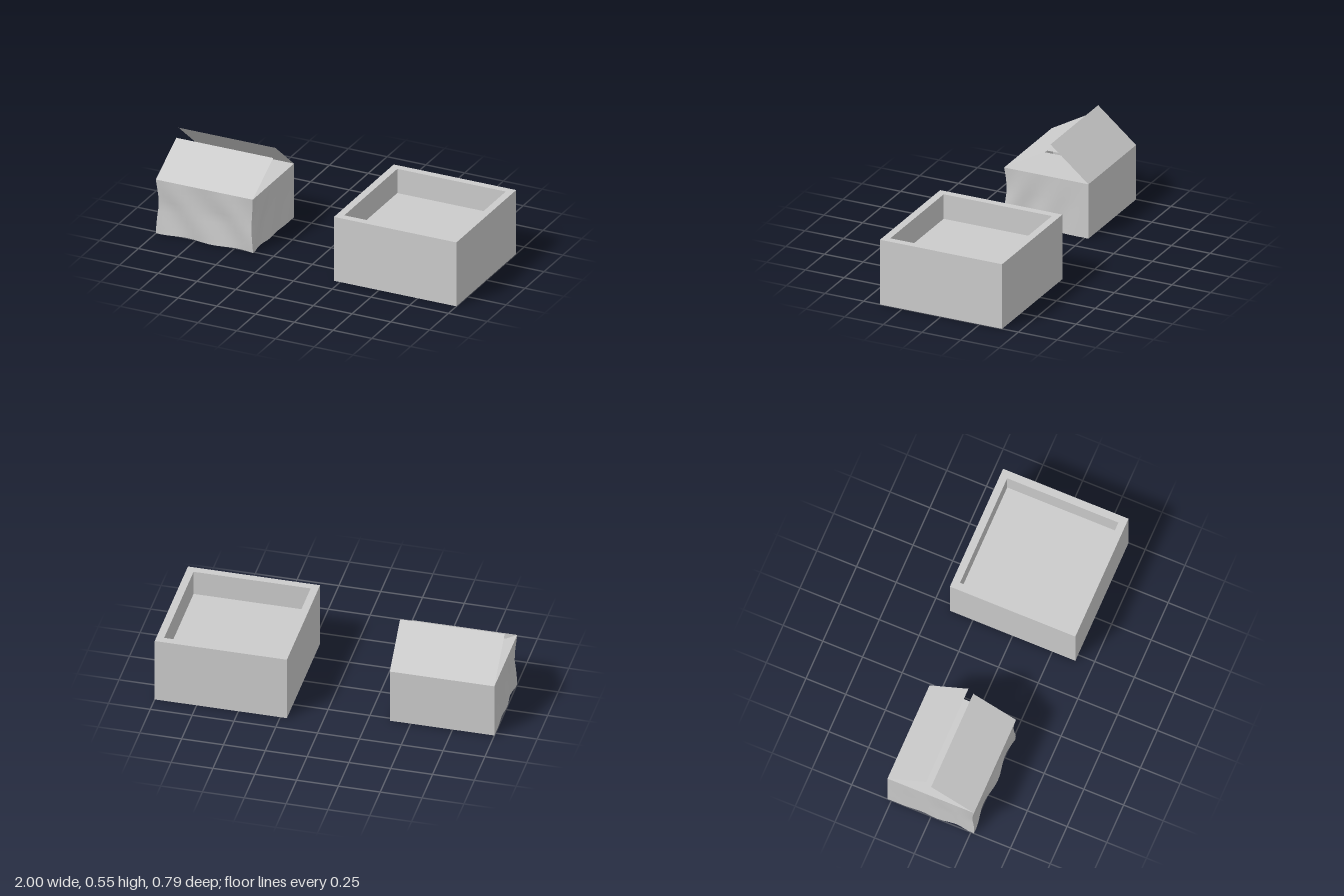
import * as THREE from 'three';

const grey = { color: 0xcccccc };
const W = 0.625, H = 0.345, D = 0.545; // carton width, wall height, depth
const CX = -0.6875, CZ = -0.0025; // carton centre

// Square tray: a four-sided lathe running from the base, over the rim, down to the recessed floor
function makeTray() {
  const k = Math.SQRT2;
  const profile = [[0, 0], [0.395, 0], [0.395, 0.41], [0.35, 0.41], [0.35, 0.255], [0, 0.255]]
    .map(([r, y]) => new THREE.Vector2(r * k, y));
  const tray = new THREE.Mesh(
    new THREE.LatheGeometry(profile, 4, Math.PI / 4),
    new THREE.MeshStandardMaterial({ ...grey, flatShading: true })
  );
  tray.name = 'tray';
  tray.position.x = 0.605;
  return tray;
}

// Open carton body, with shallow dents growing towards the front and the base
function makeCartonBody(material) {
  const geo = new THREE.BoxGeometry(W, H, D, 16, 10, 14);
  const top = geo.groups[2];
  const index = Array.from(geo.index.array);
  index.splice(top.start, top.count); // leave the top open
  geo.setIndex(index);
  geo.clearGroups();

  const pos = geo.attributes.position;
  for (let i = 0; i < pos.count; i++) {
    const x = pos.getX(i), y = pos.getY(i), z = pos.getZ(i);
    const front = z / D + 0.5;
    const low = Math.min(1, (0.5 - y / H) * 2);
    const side = (2 * x) / W;
    const dentZ = 0.011 * low * front ** 4 * (1 + Math.sin(side * 6 + y * 14));
    const dentX = 0.008 * low * front * Math.abs(side) ** 5 * (1 - Math.cos(z * 28 + y * 10 + 7));
    pos.setXYZ(i, x - Math.sign(x) * dentX, y, z - dentZ);
  }
  geo.computeVertexNormals();
  const body = new THREE.Mesh(geo, material);
  body.name = 'cartonBody';
  body.position.y = H / 2;
  return body;
}

// Thin flap hinged on its near edge: it reaches along +z of its own group
function makeFlap(name, width, length, material) {
  const hinge = new THREE.Group();
  hinge.name = name;
  const geo = new THREE.PlaneGeometry(width, length).rotateX(-Math.PI / 2).translate(0, 0, length / 2);
  const panel = new THREE.Mesh(geo, material);
  panel.name = name + 'Panel';
  hinge.add(panel);
  hinge.position.y = H;
  return hinge;
}

function makeCarton() {
  const carton = new THREE.Group();
  carton.name = 'carton';
  carton.position.set(CX, 0, CZ);
  const card = new THREE.MeshStandardMaterial({ ...grey, side: THREE.DoubleSide });
  carton.add(makeCartonBody(card));

  // Side flaps folded flat, with a narrow gap between them
  for (const s of [-1, 1]) {
    const flap = makeFlap(s > 0 ? 'leftFlap' : 'rightFlap', D, W / 2 - 0.013, card);
    flap.position.x = (s * W) / 2;
    flap.rotation.y = (-s * Math.PI) / 2;
    carton.add(flap);
  }

  // Front and back flaps, half raised at different angles
  for (const [name, s, run, rise] of [['frontFlap', 1, 0.27, 0.153], ['backFlap', -1, 0.245, 0.205]]) {
    const flap = makeFlap(name, W, Math.hypot(run, rise), card);
    flap.position.z = (s * D) / 2;
    flap.rotation.order = 'YXZ';
    flap.rotation.y = s > 0 ? Math.PI : 0;
    flap.rotation.x = -Math.atan2(rise, run);
    carton.add(flap);
  }
  return carton;
}

export function createModel() {
  const model = new THREE.Group();
  model.name = 'trayAndCarton';
  model.add(makeTray(), makeCarton());
  return model;
}
